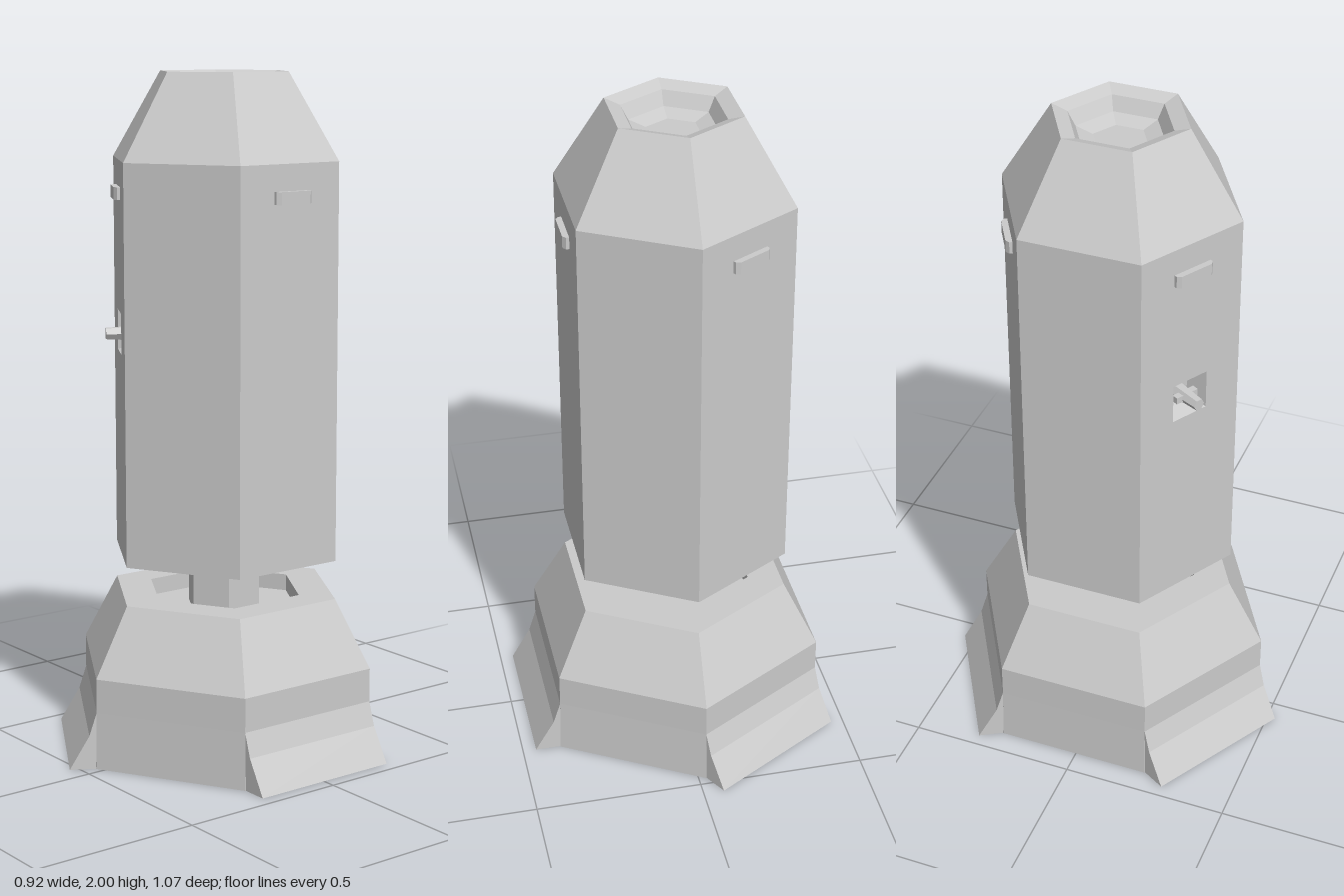
import * as THREE from 'three';

const COS30 = Math.cos(Math.PI / 6);
const grey = new THREE.MeshStandardMaterial({ color: 0xcccccc, flatShading: true });
const greyThin = new THREE.MeshStandardMaterial({ color: 0xcccccc, flatShading: true, side: THREE.DoubleSide });

function part(name, geometry, parent, material = grey) {
  const mesh = new THREE.Mesh(geometry, material);
  mesh.name = name;
  parent.add(mesh);
  return mesh;
}

// Turned solid with few sides; points run outward and upward for outward faces
function turned(points, sides = 6, start = 0) {
  return new THREE.LatheGeometry(points.map(([r, y]) => new THREE.Vector2(r, y)), sides, start);
}

function outline(points) {
  return new THREE.Shape(points.map(([x, y]) => new THREE.Vector2(x, y)));
}

const R = 0.354;            // corner radius of the body
const FACE = R * COS30;     // distance from axis to a body side
const BASE_R = 0.464;
const BASE_FACE = BASE_R * COS30;
const LOW = 0.585, SHOULDER = 1.75, LATCH_Y = 1.25;

// Group whose +x points out of the side at the given angle
function sideGroup(name, degrees, parent) {
  const g = new THREE.Group();
  g.name = name;
  g.rotation.y = -THREE.MathUtils.degToRad(degrees);
  parent.add(g);
  return g;
}

export function createModel() {
  const model = new THREE.Group();
  model.name = 'capsuleOnStand';
  const core = new THREE.Group();
  core.name = 'core';
  core.position.set(-0.022, 0, -0.008);
  model.add(core);

  // Stand with a recessed top
  part('base', turned([
    [0, 0], [BASE_R + 0.004, 0], [BASE_R, 0.17], [BASE_R, 0.27],
    [R, 0.47], [0.24, 0.47], [0.24, 0.42], [0, 0.42],
  ]), core);
  part('neck', turned([[0.114, 0.42], [0.114, 0.635]]), core);

  // Hollowed underside, sloping shoulder and dished top
  part('bodyUnderside', turned([[0, 0.635], [0.24, 0.635], [0.24, LOW], [R, LOW]]), core);
  part('bodyTop', turned([
    [R, SHOULDER], [0.2, 2], [0.153, 1.985], [0.13, 1.945], [0.08, 1.93], [0, 1.93],
  ]), core);

  // Six wall panels, one with a square opening for the latch
  for (let i = 0; i < 6; i++) {
    const side = sideGroup('wall', i * 60, core);
    const shape = outline([[-R / 2, LOW], [R / 2, LOW], [R / 2, SHOULDER], [-R / 2, SHOULDER]]);
    if (i === 2) {
      const h = 0.06;
      shape.holes.push(outline([
        [-h, LATCH_Y - h], [-h, LATCH_Y + h], [h, LATCH_Y + h], [h, LATCH_Y - h],
      ]));
    }
    const panel = new THREE.ShapeGeometry(shape).rotateY(Math.PI / 2);
    part('wallPanel', panel, side, greyThin).position.x = FACE;
  }

  // Every second side has a flared foot and a small ridge near the top
  const footShape = outline([[0, 0], [0.08, 0], [0.022, 0.1], [0, 0.17]]);
  const ridgeShape = outline([[0, -0.063], [0.009, -0.063], [0.018, -0.052], [0.018, 0.052], [0.009, 0.063], [0, 0.063]]);
  for (const degrees of [0, 120, 240]) {
    const side = sideGroup('flaredSide', degrees, core);
    const foot = new THREE.ExtrudeGeometry(footShape, { depth: BASE_R, bevelEnabled: false });
    part('flaredFoot', foot, side).position.set(BASE_FACE, 0, -BASE_R / 2);
    const ridge = new THREE.ExtrudeGeometry(ridgeShape, { depth: 0.036, bevelEnabled: false });
    ridge.rotateX(-Math.PI / 2);
    part('ridge', ridge, side).position.set(FACE, 1.638, degrees === 0 ? -0.006 : 0);
  }

  // Latch: tapered square recess with a six-sided knob
  const latch = sideGroup('latch', 120, core);
  const recess = turned([[0.06 * Math.SQRT2, 0], [0.04 * Math.SQRT2, -0.06], [0, -0.06]], 4, Math.PI / 4);
  part('latchRecess', recess.rotateZ(-Math.PI / 2), latch).position.set(FACE, LATCH_Y, 0);
  const knob = new THREE.CylinderGeometry(0.018, 0.024, 0.1, 6).rotateZ(-Math.PI / 2);
  part('latchKnob', knob, latch).position.set(FACE - 0.01, LATCH_Y - 0.005, 0);
  const bar = new THREE.BoxGeometry(0.02, 0.02, 0.075);
  part('latchBar', bar, latch).position.set(FACE - 0.02, LATCH_Y - 0.005, 0);

  return model;
}
